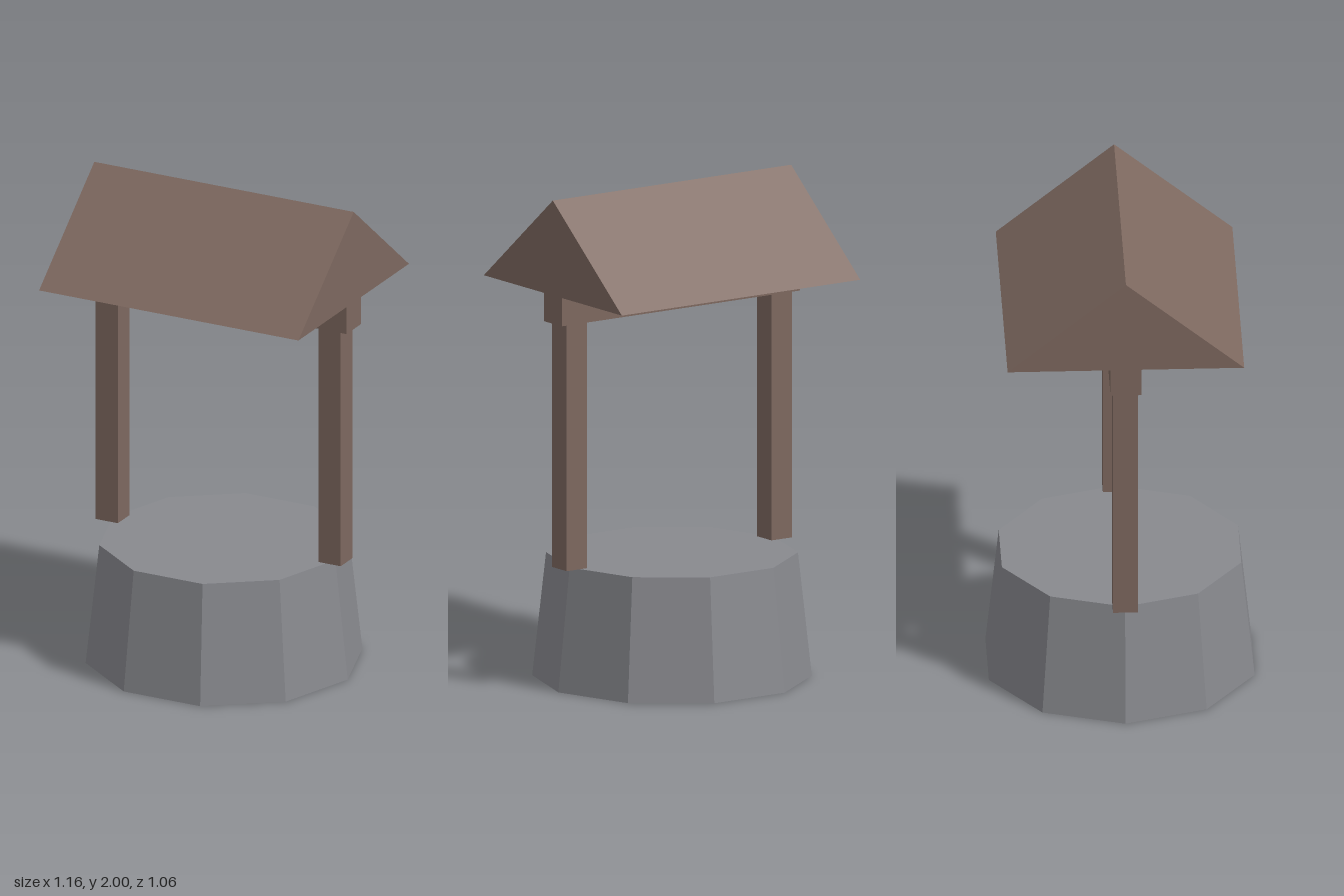
import * as THREE from 'three';

export function createModel() {
  const model = new THREE.Group();
  model.name = 'well';

  const wood = new THREE.MeshStandardMaterial({ color: 0x7d685f, flatShading: true });
  wood.name = 'brown wood';
  const stone = new THREE.MeshStandardMaterial({ color: 0x88898e, flatShading: true });
  stone.name = 'grey stone';

  const add = (name, geometry, material, x, y, z) => {
    const mesh = new THREE.Mesh(geometry, material);
    mesh.name = name;
    mesh.position.set(x, y, z);
    model.add(mesh);
    return mesh;
  };

  // Ten-sided tapered base with corners on the x axis
  const base = add('stoneBase', new THREE.CylinderGeometry(0.5, 0.555, 0.5, 10), stone, 0, 0.25, 0);
  base.rotation.y = Math.PI / 2;

  // Two posts standing on the rim
  for (const [name, side] of [['leftPost', 1], ['rightPost', -1]]) {
    add(name, new THREE.BoxGeometry(0.1, 1, 0.1), wood, side * 0.5, 1, 0);
  }

  // Beam across the posts, under the roof
  const roofLength = 1.164;
  add('beam', new THREE.BoxGeometry(roofLength, 0.115, 0.122), wood, 0, 1.5575, 0);

  // Solid gable roof, its ridge running along x
  const gable = new THREE.Shape();
  gable.moveTo(-0.47, 0);
  gable.lineTo(0.47, 0);
  gable.lineTo(0, 0.385);
  gable.closePath();
  const roofGeometry = new THREE.ExtrudeGeometry(gable, { depth: roofLength, bevelEnabled: false });
  roofGeometry.translate(0, 0, -roofLength / 2);
  roofGeometry.rotateY(Math.PI / 2);
  add('roof', roofGeometry, wood, 0, 1.615, 0);

  return model;
}
